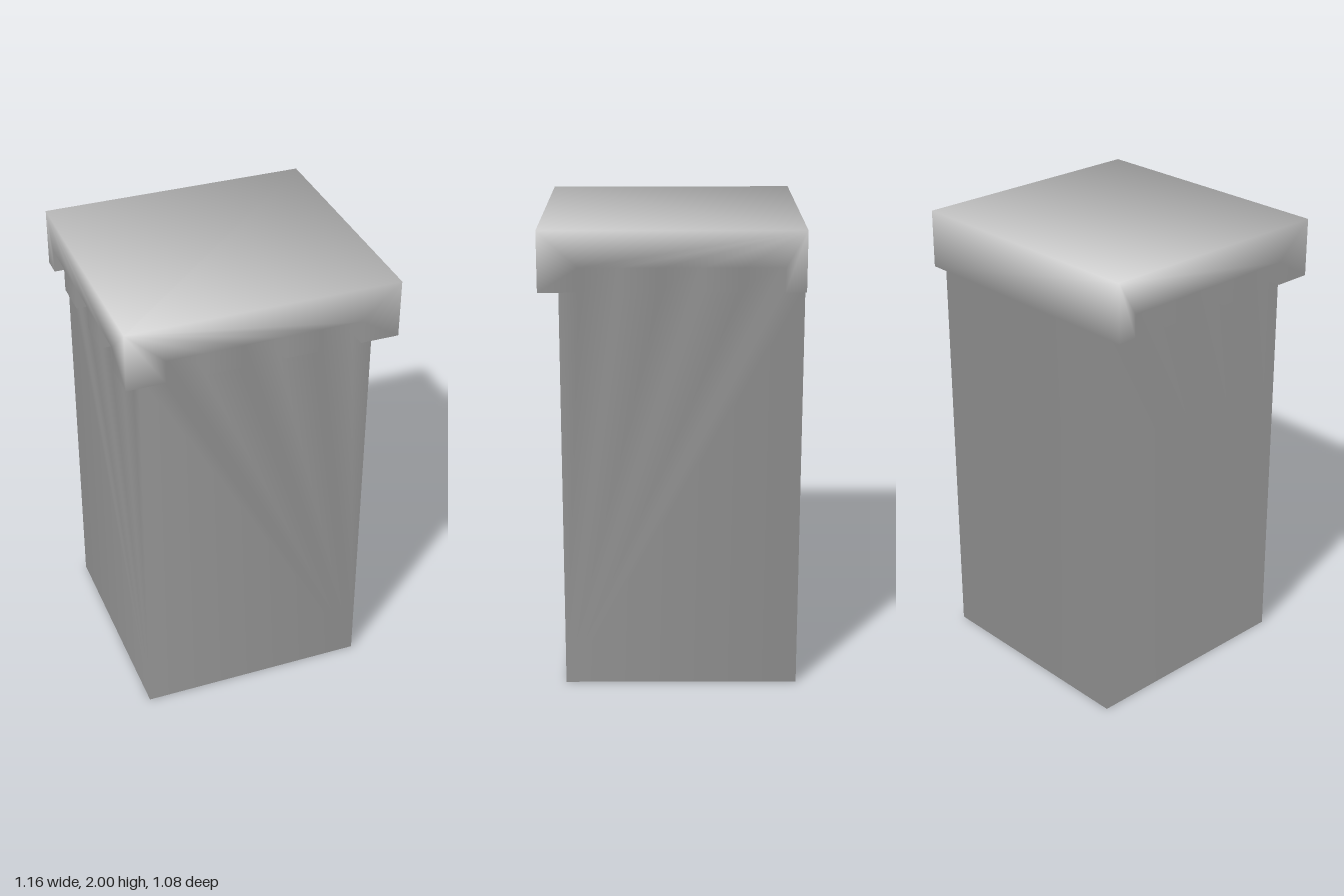
import * as THREE from 'three';

const HALF_W = 0.58, HALF_D = 0.54;           // outer half sizes of the crown
const LIP = 0.08;                             // overhang on front and sides (back is flush)
const STEP = 2 * HALF_W / 7;                  // width of each tooth and each gap
const WALL_X = HALF_W - LIP, WALL_Z = HALF_D - LIP;
const LOW = 1.75, HIGH = 1.85, TOP = 2;       // tooth bottoms, gap ceilings, crown top

const vec = (x, y, z) => new THREE.Vector3(x, y, z);
const keyOf = (p) => p.toArray().map((v) => v.toFixed(3)).join();

export function createModel() {
  const parts = { towerShaft: [], crownSlab: [], crownTeeth: [] };
  const normalSums = new Map(); // smooth normal per corner, shared by all parts

  // Flat face fanned from its first point; corners the apex cannot see become ears
  function face(part, normal, points) {
    const side = (a, b, c) => b.clone().sub(a).cross(c.clone().sub(a)).dot(normal);
    const [apex, ...chain] = points;
    const turn = Math.sign(side(apex, chain[0], chain[1]));
    const emit = (a, b, c) => parts[part].push(...(turn > 0 ? [a, b, c] : [a, c, b]));
    let pivot = chain[0];
    for (let i = 1; i < chain.length; i++) {
      if (side(apex, pivot, chain[i]) * turn > 1e-9) {
        emit(apex, pivot, chain[i]);
        pivot = chain[i];
      } else {
        emit(pivot, chain[i], chain[i + 1]);
      }
    }
    for (const p of points) {
      const key = keyOf(p);
      if (!normalSums.has(key)) normalSums.set(key, vec(0, 0, 0));
      normalSums.get(key).add(normal);
    }
  }

  // One toothed face: at(t, y, outer) places a point on the wall or on the crown's outside
  function toothedFace({ at, edge, along, normal, wall, crown, wallFromEnd, bands }) {
    const ks = [1, 2, 3, 4, 5, 6];
    const outline = ks.flatMap((k) => (k % 2 ? [[edge(k), LOW], [edge(k), HIGH]]
      : [[edge(k), HIGH], [edge(k), LOW]]));
    const panel = (part, [t0, t1], base, outer, reverse) => {
      const middle = reverse ? [...outline].reverse() : outline;
      const [a, b] = reverse ? [t1, t0] : [t0, t1];
      const loop = [[a, base], [a, LOW], ...middle, [b, LOW], [b, base]];
      face(part, normal, loop.map(([t, y]) => at(t, y, outer)));
    };
    panel('towerShaft', wall, 0, false, wallFromEnd);
    panel('crownSlab', crown, TOP, true, !wallFromEnd);

    // Tooth flanks
    for (const k of ks) {
      const t = edge(k);
      face('crownTeeth', along.clone().multiplyScalar(k % 2 ? 1 : -1),
        [at(t, LOW, false), at(t, LOW, true), at(t, HIGH, true), at(t, HIGH, false)]);
    }
    // Undersides of gaps and teeth
    for (let k = 1; k <= bands; k++) {
      const y = k % 2 ? HIGH : LOW, t0 = edge(k), t1 = edge(k + 1);
      face('crownTeeth', vec(0, -1, 0),
        [at(t0, y, false), at(t0, y, true), at(t1, y, true), at(t1, y, false)]);
    }
  }

  toothedFace({
    at: (x, y, outer) => vec(x, y, outer ? HALF_D : WALL_Z),
    edge: (k) => -HALF_W + k * STEP,
    along: vec(1, 0, 0), normal: vec(0, 0, 1),
    wall: [-WALL_X, WALL_X], crown: [-HALF_W, HALF_W], wallFromEnd: true, bands: 5,
  });

  for (const s of [1, -1]) {
    toothedFace({
      at: (z, y, outer) => vec(s * (outer ? HALF_W : WALL_X), y, z),
      edge: (k) => Math.max(HALF_D - k * STEP, -HALF_D),
      along: vec(0, 0, -1), normal: vec(s, 0, 0),
      wall: [WALL_Z, -HALF_D], crown: [HALF_D, -HALF_D], wallFromEnd: false, bands: 6,
    });
    // L-shaped underside of the front corner tooth
    const innerX = HALF_W - STEP, innerZ = HALF_D - STEP;
    face('crownTeeth', vec(0, -1, 0), [
      [WALL_X, WALL_Z], [innerX, WALL_Z], [innerX, HALF_D],
      [HALF_W, HALF_D], [HALF_W, innerZ], [WALL_X, innerZ],
    ].map(([x, z]) => vec(s * x, LOW, z)));
  }

  // Flush back of shaft and crown
  const back = (list) => list.map(([x, y]) => vec(x, y, -HALF_D));
  face('towerShaft', vec(0, 0, -1), back([[WALL_X, 0], [WALL_X, LOW], [-WALL_X, LOW], [-WALL_X, 0]]));
  face('crownSlab', vec(0, 0, -1), back([[-HALF_W, TOP], [-HALF_W, LOW], [-WALL_X, LOW],
    [WALL_X, LOW], [HALF_W, LOW], [HALF_W, TOP]]));

  // Bottom and top
  face('towerShaft', vec(0, -1, 0), [vec(WALL_X, 0, WALL_Z), vec(-WALL_X, 0, WALL_Z),
    vec(-WALL_X, 0, -HALF_D), vec(WALL_X, 0, -HALF_D)]);
  face('crownSlab', vec(0, 1, 0), [vec(-HALF_W, TOP, HALF_D), vec(HALF_W, TOP, HALF_D),
    vec(HALF_W, TOP, -HALF_D), vec(-HALF_W, TOP, -HALF_D)]);

  // Meshes with normals smoothed across every edge; each corner's faces count once per direction
  const group = new THREE.Group();
  const material = new THREE.MeshStandardMaterial({ color: 0xcccccc });
  for (const [name, corners] of Object.entries(parts)) {
    const normals = corners.map((p) => {
      const n = normalSums.get(keyOf(p));
      return vec(Math.sign(n.x), Math.sign(n.y), Math.sign(n.z)).normalize();
    });
    const geometry = new THREE.BufferGeometry().setFromPoints(corners);
    geometry.setAttribute('normal',
      new THREE.Float32BufferAttribute(normals.flatMap((n) => n.toArray()), 3));
    const mesh = new THREE.Mesh(geometry, material);
    mesh.name = name;
    group.add(mesh);
  }
  return group;
}
